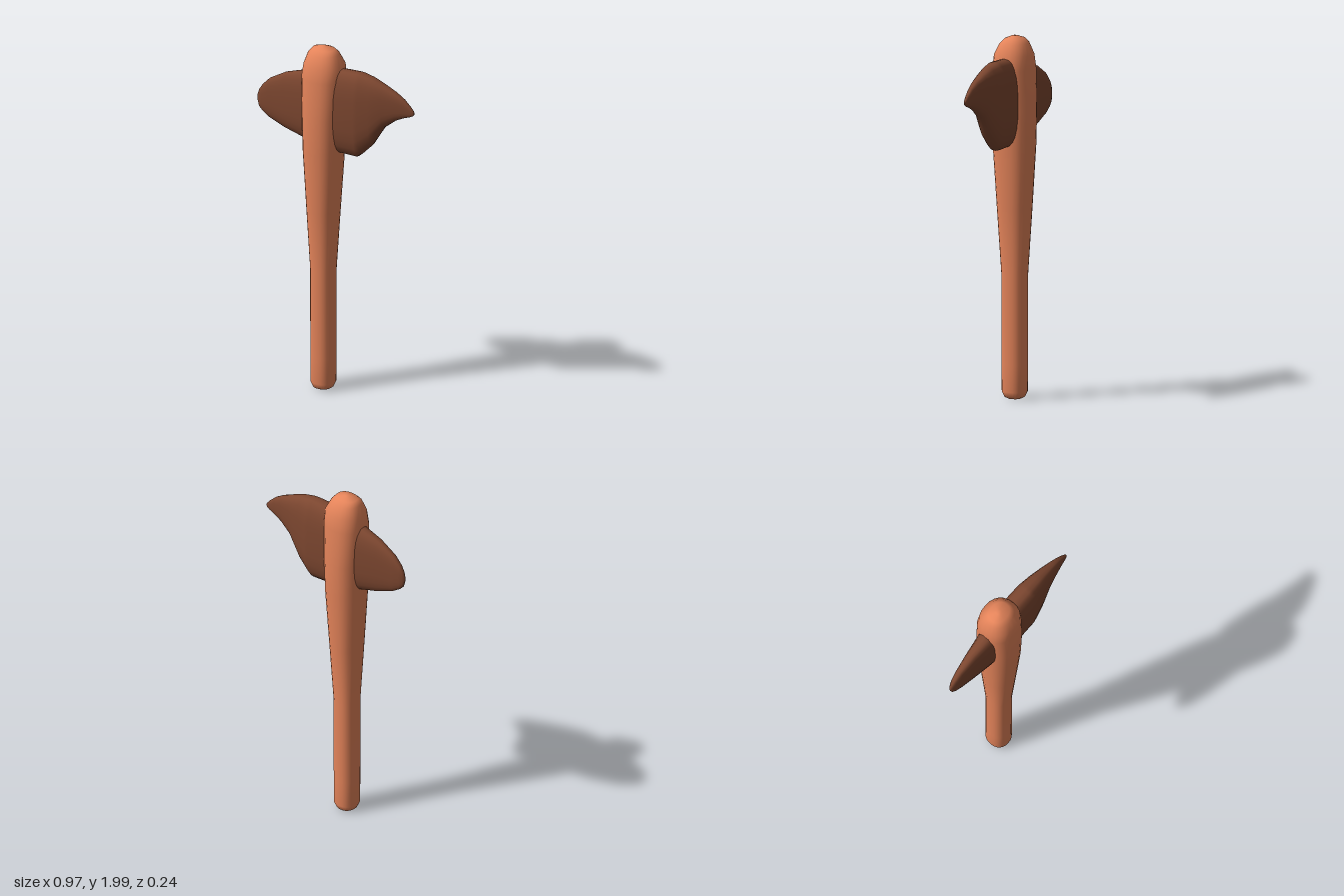
import * as THREE from 'three';

const SIDES = 24;

// Skins superellipse rings; place(section, c, s) returns one ring point.
function loft(sections, power, place) {
  const pos = [], index = [];
  const bend = v => Math.sign(v) * Math.pow(Math.abs(v), 2 / power);
  for (const s of sections) {
    for (let i = 0; i < SIDES; i++) {
      const a = (i / SIDES) * Math.PI * 2;
      pos.push(...place(s, bend(Math.cos(a)), bend(Math.sin(a))));
    }
  }
  for (let r = 0; r < sections.length - 1; r++) {
    for (let i = 0; i < SIDES; i++) {
      const a = r * SIDES + i, b = r * SIDES + (i + 1) % SIDES;
      index.push(a, a + SIDES, b, b, a + SIDES, b + SIDES);
    }
  }
  // End caps
  for (const r of [0, sections.length - 1]) {
    const centre = pos.length / 3;
    pos.push(...place(sections[r], 0, 0));
    for (let i = 0; i < SIDES; i++) {
      const a = r * SIDES + i, b = r * SIDES + (i + 1) % SIDES;
      if (r === 0) index.push(centre, a, b);
      else index.push(centre, b, a);
    }
  }
  const geo = new THREE.BufferGeometry();
  geo.setAttribute('position', new THREE.Float32BufferAttribute(pos, 3));
  geo.setIndex(index);
  geo.computeVertexNormals();
  return geo;
}

function addMesh(group, name, geometry, color) {
  const mesh = new THREE.Mesh(geometry, new THREE.MeshStandardMaterial({ color }));
  mesh.name = name;
  group.add(mesh);
}

export function createModel() {
  const group = new THREE.Group();
  group.name = 'stoneAxe';

  // Handle rings: y, centre x, half width x, half depth z
  const handle = [
    [0.01, -0.08, 0.035, 0.035], [0.02, -0.08, 0.053, 0.055],
    [0.05, -0.08, 0.067, 0.068], [0.2, -0.08, 0.068, 0.07],
    [0.7, -0.08, 0.068, 0.071], [1.05, -0.079, 0.088, 0.094],
    [1.4, -0.077, 0.109, 0.115], [1.6, -0.076, 0.114, 0.12],
    [1.82, -0.076, 0.121, 0.112], [1.9, -0.073, 0.112, 0.103],
    [1.96, -0.078, 0.086, 0.075], [1.985, -0.079, 0.064, 0.05],
    [2.0, -0.08, 0.015, 0.015],
  ];
  addMesh(group, 'handle', loft(handle, 2.3,
    ([y, x, rx, rz], c, s) => [x + c * rx, y, s * rz]), 0xe5845a);

  // Head rings: x, bottom y, top y, half depth z
  const head = [
    [-0.485, 1.6, 1.645, 0.006], [-0.475, 1.57, 1.672, 0.013],
    [-0.455, 1.55, 1.703, 0.02], [-0.41, 1.52, 1.748, 0.028],
    [-0.31, 1.48, 1.803, 0.042], [-0.2, 1.45, 1.836, 0.058],
    [-0.08, 1.425, 1.865, 0.07], [0.03, 1.405, 1.888, 0.075],
    [0.14, 1.4, 1.89, 0.073], [0.165, 1.42, 1.888, 0.07],
    [0.225, 1.48, 1.875, 0.06], [0.26, 1.535, 1.862, 0.053],
    [0.3, 1.598, 1.846, 0.044], [0.37, 1.652, 1.815, 0.03],
    [0.42, 1.676, 1.785, 0.02], [0.46, 1.69, 1.748, 0.012],
    [0.476, 1.698, 1.73, 0.008], [0.482, 1.706, 1.72, 0.004],
  ];
  addMesh(group, 'axeHead', loft(head, 2.7,
    ([x, y0, y1, rz], c, s) => [x, (y0 + y1) / 2 + s * (y1 - y0) / 2, c * rz]), 0x7d4730);

  return group;
}
